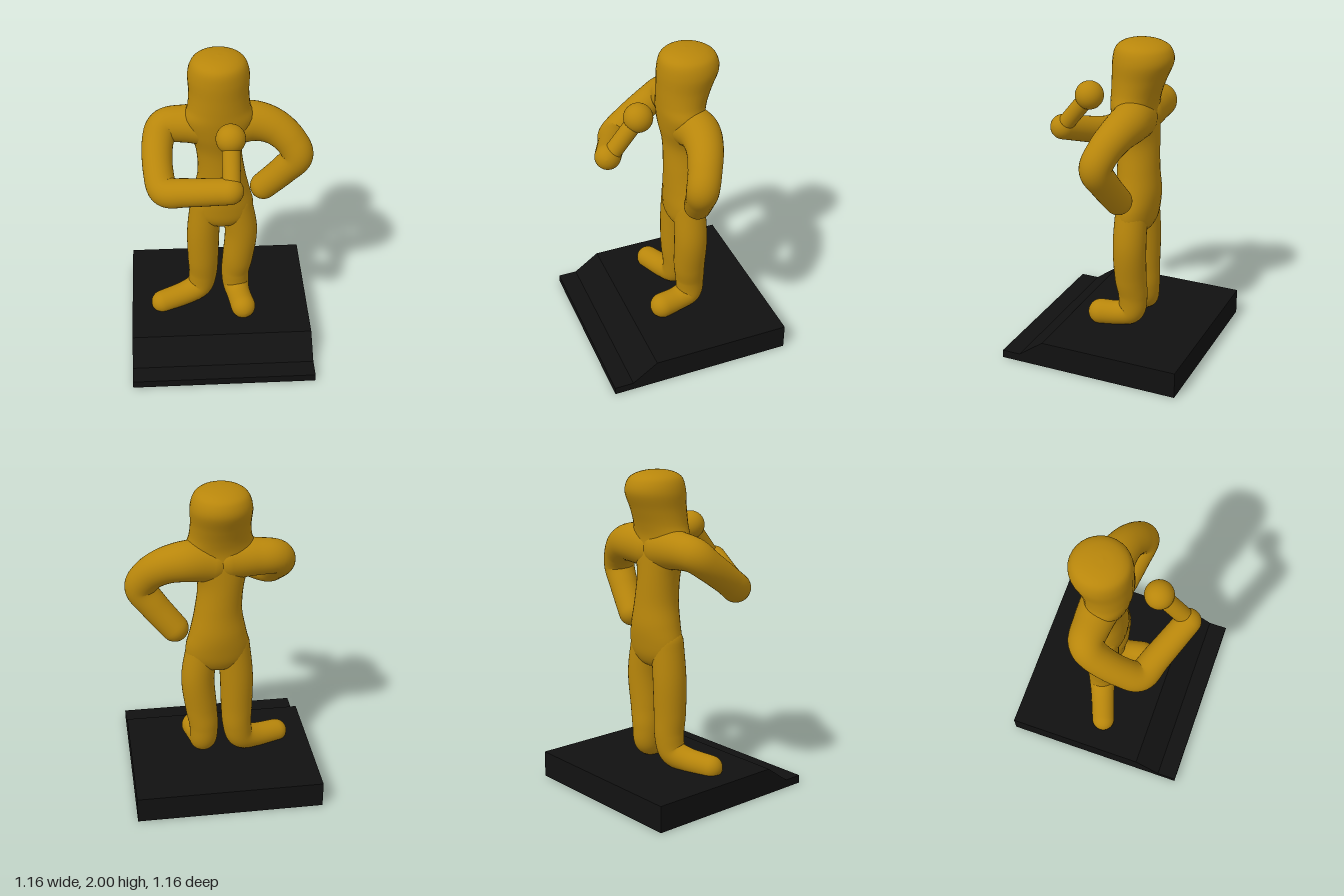
import * as THREE from 'three';

const SIDES = 32;
const V = (x, y, z) => new THREE.Vector3(x, y, z);
const spline = (pts) => new THREE.CatmullRomCurve3(pts, false, 'catmullrom', 0.5);

// Skin a list of rings { c, u, v } (u x v points along the loft) into one smooth surface
function loft(rings) {
  const pos = [], idx = [];
  rings.forEach(({ c, u, v }, i) => {
    for (let j = 0; j < SIDES; j++) {
      const a = (j / SIDES) * Math.PI * 2;
      const p = c.clone().addScaledVector(u, Math.cos(a)).addScaledVector(v, Math.sin(a));
      pos.push(p.x, p.y, p.z);
      if (i === 0) continue;
      const k = (j + 1) % SIDES, lo = (i - 1) * SIDES, hi = i * SIDES;
      idx.push(lo + j, lo + k, hi + k, lo + j, hi + k, hi + j);
    }
  });
  const geo = new THREE.BufferGeometry();
  geo.setAttribute('position', new THREE.Float32BufferAttribute(pos, 3));
  geo.setIndex(idx);
  geo.computeVertexNormals();
  return geo;
}

// Round-ended limb through points [x, y, z, radius]
function limb(points, steps = 60) {
  const path = spline(points.map(([x, y, z]) => V(x, y, z)));
  const radius = spline(points.map(([, , , r], i) => V(r, i, 0)));
  const rings = [];
  let n = V(0.31, 0.17, 0.93);
  const add = (t, shift, scale) => {
    const T = path.getTangent(t), r = radius.getPoint(t).x;
    n = n.clone().addScaledVector(T, -n.dot(T)).normalize();
    const b = T.clone().cross(n), s = Math.max(r * scale, 1e-4);
    rings.push({
      c: path.getPoint(t).addScaledVector(T, shift * r),
      u: n.clone().multiplyScalar(s),
      v: b.multiplyScalar(s),
    });
  };
  const CAP = 8;
  for (let i = 0; i < CAP; i++) {
    const a = (i / CAP) * Math.PI / 2;
    add(0, -Math.cos(a), Math.sin(a));
  }
  for (let i = 0; i <= steps; i++) add(i / steps, 0, 1);
  for (let i = CAP - 1; i >= 0; i--) {
    const a = (i / CAP) * Math.PI / 2;
    add(1, Math.cos(a), Math.sin(a));
  }
  return loft(rings);
}

// Upright body from elliptical sections [y, centreX, halfWidth, centreZ, halfDepth]
function trunk(sections, steps = 96) {
  const centre = spline(sections.map(([y, x, , z]) => V(x, y, z)));
  const size = spline(sections.map(([y, , w, , d]) => V(w, y, d)));
  const rings = [];
  for (let i = 0; i <= steps; i++) {
    const s = size.getPoint(i / steps);
    rings.push({
      c: centre.getPoint(i / steps),
      u: V(0, 0, Math.max(s.z, 1e-4)),
      v: V(Math.max(s.x, 1e-4), 0, 0),
    });
  }
  return loft(rings);
}

export function createModel() {
  const model = new THREE.Group();
  model.name = 'singerStatuette';
  const gold = new THREE.MeshStandardMaterial({ color: 0xb8860b });
  const black = new THREE.MeshStandardMaterial({ color: 0x111111 });
  const add = (name, geo, mat = gold) => {
    const mesh = new THREE.Mesh(geo, mat);
    mesh.name = name;
    model.add(mesh);
    return mesh;
  };

  // Plinth: side profile with a sloping front and a low lip, extruded across x
  const profile = new THREE.Shape([
    [-0.58, 0], [0.58, 0], [0.58, 0.05], [0.46, 0.05], [0.3, 0.165], [-0.58, 0.165],
  ].map(([z, y]) => new THREE.Vector2(-z, y)));
  const plinth = new THREE.ExtrudeGeometry(profile, { depth: 1.16, bevelEnabled: false });
  plinth.translate(0, 0, -0.58).rotateY(Math.PI / 2);
  add('plinth', plinth, black);

  // Torso and head in one continuous form
  add('torsoAndHead', trunk([
    [0.77, 0.02, 0, -0.1, 0],
    [0.8, 0.02, 0.12, -0.1, 0.075],
    [0.86, 0.02, 0.19, -0.1, 0.115],
    [0.95, 0.02, 0.197, -0.105, 0.13],
    [1.06, 0.018, 0.172, -0.11, 0.135],
    [1.2, 0.015, 0.145, -0.105, 0.13],
    [1.37, 0, 0.142, -0.1, 0.126],
    [1.5, 0, 0.185, -0.085, 0.135],
    [1.6, 0, 0.21, -0.077, 0.138],
    [1.68, 0, 0.188, -0.085, 0.148],
    [1.77, 0, 0.18, -0.103, 0.165],
    [1.87, 0, 0.184, -0.125, 0.184],
    [1.94, 0, 0.166, -0.125, 0.17],
    [1.975, 0, 0.13, -0.12, 0.132],
    [1.994, 0, 0.07, -0.113, 0.07],
    [2.0, 0, 0, -0.11, 0],
  ]));

  // Left arm bent with the hand by the hip
  add('leftArm', limb([
    [0.05, 1.52, -0.1, 0.13], [0.2, 1.535, -0.12, 0.124], [0.33, 1.505, -0.1, 0.11],
    [0.43, 1.43, -0.06, 0.1], [0.475, 1.33, -0.03, 0.097], [0.4, 1.215, -0.05, 0.09],
    [0.28, 1.07, -0.085, 0.085],
  ]));

  // Right arm raised across the chest
  add('rightArm', limb([
    [-0.05, 1.53, -0.1, 0.13], [-0.2, 1.535, -0.11, 0.115], [-0.325, 1.525, -0.105, 0.105],
    [-0.37, 1.46, -0.03, 0.095], [-0.372, 1.355, 0.12, 0.09], [-0.335, 1.287, 0.23, 0.092],
    [-0.2, 1.315, 0.29, 0.085], [0.04, 1.395, 0.395, 0.079],
  ]));

  // Legs run into turned-out feet
  add('leftLeg', limb([
    [0.11, 0.95, -0.1, 0.1], [0.143, 0.72, -0.1, 0.104], [0.125, 0.5, -0.1, 0.1],
    [0.11, 0.37, -0.11, 0.092], [0.113, 0.26, -0.1, 0.086], [0.128, 0.228, -0.02, 0.077],
    [0.15, 0.222, 0.095, 0.08],
  ]));
  add('rightLeg', limb([
    [-0.08, 0.95, -0.1, 0.1], [-0.1, 0.72, -0.1, 0.104], [-0.103, 0.5, -0.1, 0.1],
    [-0.105, 0.36, -0.107, 0.093], [-0.13, 0.255, -0.1, 0.086], [-0.22, 0.215, -0.065, 0.078],
    [-0.378, 0.195, -0.005, 0.074],
  ]));

  // Microphone held in the right hand
  const grip = V(0.05, 1.4, 0.39), tip = V(0.053, 1.628, 0.205);
  const axis = tip.clone().sub(grip);
  const handle = add('microphoneHandle', new THREE.CylinderGeometry(0.053, 0.053, axis.length(), 32));
  handle.position.copy(grip).addScaledVector(axis, 0.5);
  handle.quaternion.setFromUnitVectors(V(0, 1, 0), axis.normalize());
  add('microphoneHead', new THREE.SphereGeometry(0.088, 32, 20)).position.copy(tip);

  return model;
}
